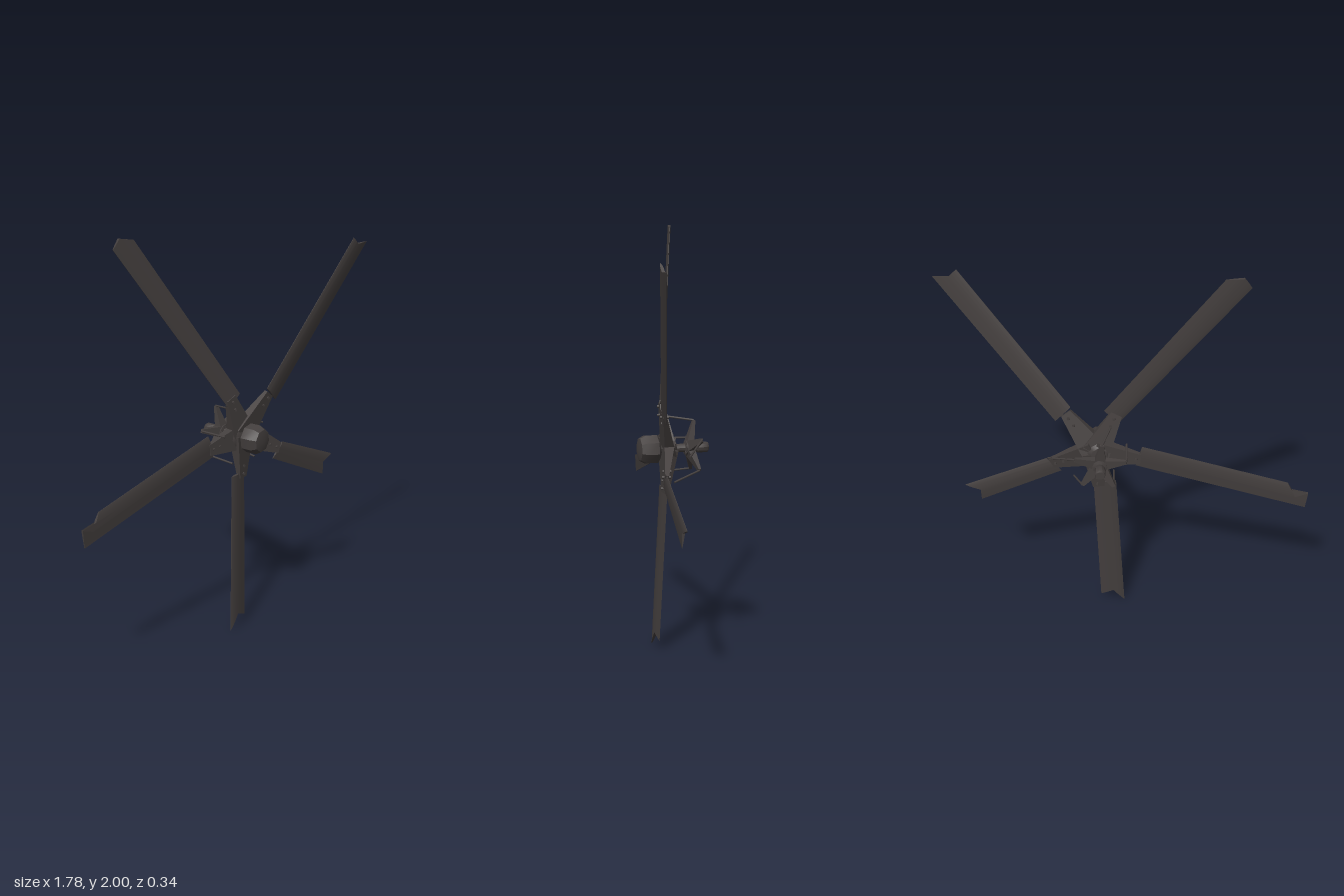
import * as THREE from 'three';
import { toCreasedNormals } from 'three/addons/utils/BufferGeometryUtils.js';

const V = (p) => new THREE.Vector3(...p);

export function createModel() {
  const model = new THREE.Group();
  const metal = new THREE.MeshStandardMaterial({ color: 0x443f3e, side: THREE.DoubleSide });

  const add = (name, geometry, parent = model) => {
    const mesh = new THREE.Mesh(geometry, metal);
    mesh.name = name;
    parent.add(mesh);
    return mesh;
  };

  // Reshape a box: x runs along the chord, y along the span, z through the thickness
  const reshape = (segments, rule, crease) => {
    const geo = new THREE.BoxGeometry(1, 1, 1, segments, 1, 1);
    const pos = geo.attributes.position;
    for (let i = 0; i < pos.count; i++) {
      const v = rule(pos.getX(i) + 0.5, pos.getY(i) + 0.5, pos.getZ(i) * 2);
      pos.setXYZ(i, v.x, v.y, v.z);
    }
    return toCreasedNormals(geo, crease);
  };

  // Thin blade from two root corners to a torn tip given as [chord fraction, x, y, z]
  const blade = (a, b, tip) => {
    const tipAt = (t) => {
      let i = 0;
      while (i < tip.length - 2 && t > tip[i + 1][0] + 1e-6) i++;
      const [p, q] = [tip[i], tip[i + 1]];
      return V(p.slice(1)).lerp(V(q.slice(1)), (t - p[0]) / (q[0] - p[0]));
    };
    const chord = V(b).sub(V(a));
    const normal = chord.clone().cross(tipAt(0).sub(V(a))).normalize();
    return reshape(12, (t, s, side) => {
      const half = 0.001 + 0.006 * Math.sin(Math.PI * Math.pow(t, 0.75));
      return V(a).lerp(V(b), t).lerp(tipAt(t), s).addScaledVector(normal, side * half);
    }, 0.7);
  };

  // Tapered flat arm between two points
  const arm = (p, q, chord, w0, w1, d0, d1) => {
    const span = q.clone().sub(p).normalize();
    const c = chord.clone().addScaledVector(span, -chord.dot(span)).normalize();
    const n = c.clone().cross(span).normalize();
    return reshape(1, (t, s, side) => p.clone().lerp(q, s)
      .addScaledVector(c, (t - 0.5) * (w0 + (w1 - w0) * s))
      .addScaledVector(n, side * (d0 + (d1 - d0) * s) / 2), 0.3);
  };

  // Thin rod between two points
  const rod = (p, q, r) => {
    const dir = q.clone().sub(p);
    const geo = new THREE.CylinderGeometry(r, r, dir.length(), 6);
    geo.applyQuaternion(new THREE.Quaternion().setFromUnitVectors(V([0, 1, 0]), dir.clone().normalize()));
    const mid = p.clone().lerp(q, 0.5);
    return geo.translate(mid.x, mid.y, mid.z);
  };

  // Five blades, each with its own bend and broken tip, and the end of its hub arm
  const blades = [
    { name: 'upperRight', a: [0.015, 1.135, 0.046], b: [0.09, 1.19, 0.042], end: [0.03, 1.18, 0.044],
      tip: [[0, -0.58, 1.955, -0.021], [1 / 3, -0.545, 2, -0.025], [1, -0.465, 1.985, -0.024]] },
    { name: 'upperLeft', a: [0.255, 1.185, 0.05], b: [0.325, 1.11, 0.03], end: [0.275, 1.155, 0.04],
      tip: [[0, 0.78, 1.85, 0.078], [0.5, 0.815, 1.815, 0.067], [1, 0.89, 1.815, 0.056]] },
    { name: 'lowerLeft', a: [0.375, 0.885, 0.03], b: [0.305, 0.815, 0.04], end: [0.35, 0.86, 0.033],
      tip: [[0, 0.775, 0.715, -0.036], [0.5, 0.7, 0.69, -0.024], [1, 0.7, 0.625, -0.018]] },
    { name: 'bottom', a: [0.035, 0.785, 0.05], b: [0.14, 0.785, 0.018], end: [0.118, 0.76, 0.028],
      tip: [[0, 0, 0, 0.087], [0.5, 0.055, 0.07, 0.07], [1, 0.115, 0.045, 0.055]] },
    { name: 'right', a: [-0.095, 1.015, 0.032], b: [-0.065, 0.905, 0.03], end: [-0.09, 0.945, 0.033],
      tip: [[0, -0.79, 0.84, 0.12], [0.5, -0.83, 0.76, 0.126], [2 / 3, -0.89, 0.782, 0.135], [1, -0.88, 0.695, 0.135]] },
  ];
  const hub = V([0.125, 0.972, 0.014]);
  for (const { name, a, b, end, tip } of blades) {
    add(name + 'Blade', blade(a, b, tip));
    const chord = V(b).sub(V(a));
    const tipPoint = V(end);
    add(name + 'HubArm', arm(hub, tipPoint, chord, 0.135, 0.055, 0.055, 0.018));
    // Retaining pins through the arm
    for (const s of [0.72, 0.9]) {
      const c = hub.clone().lerp(tipPoint, s);
      add(name + 'Pin', rod(c.clone().add(V([0, 0, -0.02])), c.clone().add(V([0, 0, 0.02])), 0.007));
    }
  }

  // Tilted mast assembly; its local y is the rotor axis
  const axis = V([0.234, 0, 0.972]).normalize();
  const mast = new THREE.Group();
  mast.name = 'mastAssembly';
  mast.position.set(0.107, 0.97, 0);
  mast.quaternion.setFromUnitVectors(V([0, 1, 0]), axis);
  model.add(mast);

  const turned = (name, points, sides) => {
    const geo = new THREE.LatheGeometry(points.map((p) => new THREE.Vector2(...p)), sides);
    add(name, toCreasedNormals(geo, 0.6), mast);
  };
  turned('shaft', [[0, -0.18], [0.022, -0.18], [0.026, -0.172], [0.026, -0.13], [0.02, -0.12],
    [0.02, 0.07], [0, 0.07]], 10);
  turned('hubCore', [[0, -0.022], [0.04, -0.018], [0.068, 0.01], [0.068, 0.028], [0.04, 0.045], [0, 0.045]], 10);
  turned('cap', [[0, 0.058], [0.05, 0.058], [0.07, 0.072], [0.07, 0.125], [0.055, 0.152], [0, 0.162]], 8);
  turned('spiderCollar', [[0.018, -0.115], [0.036, -0.11], [0.036, -0.07], [0.018, -0.065]], 10);

  // Control spider with five swept-back arms
  const side = V([0.972, 0, -0.234]).normalize();
  const center = V([0.107, 0.97, 0]).addScaledVector(axis, -0.085);
  const tips = [];
  for (let i = 0; i < 5; i++) {
    const angle = THREE.MathUtils.degToRad(95 + 72 * i);
    const out = side.clone().multiplyScalar(Math.cos(angle)).add(V([0, Math.sin(angle), 0]));
    const tip = center.clone().addScaledVector(out, 0.128).addScaledVector(axis, -0.03);
    tips.push(tip);
    add('spiderArm', arm(center, tip, out.clone().cross(axis), 0.06, 0.018, 0.04, 0.012));
  }

  // Pitch links, the last one hanging loose
  const linkEnds = [[0.05, 1.12, 0.062], [-0.015, 1.0, 0.06], [0.045, 0.85, 0.045],
    [0.23, 0.83, -0.01], [0.34, 0.965, -0.075]];
  linkEnds.forEach((end, i) => add('pitchLink', rod(tips[i], V(end), 0.005)));

  return model;
}
